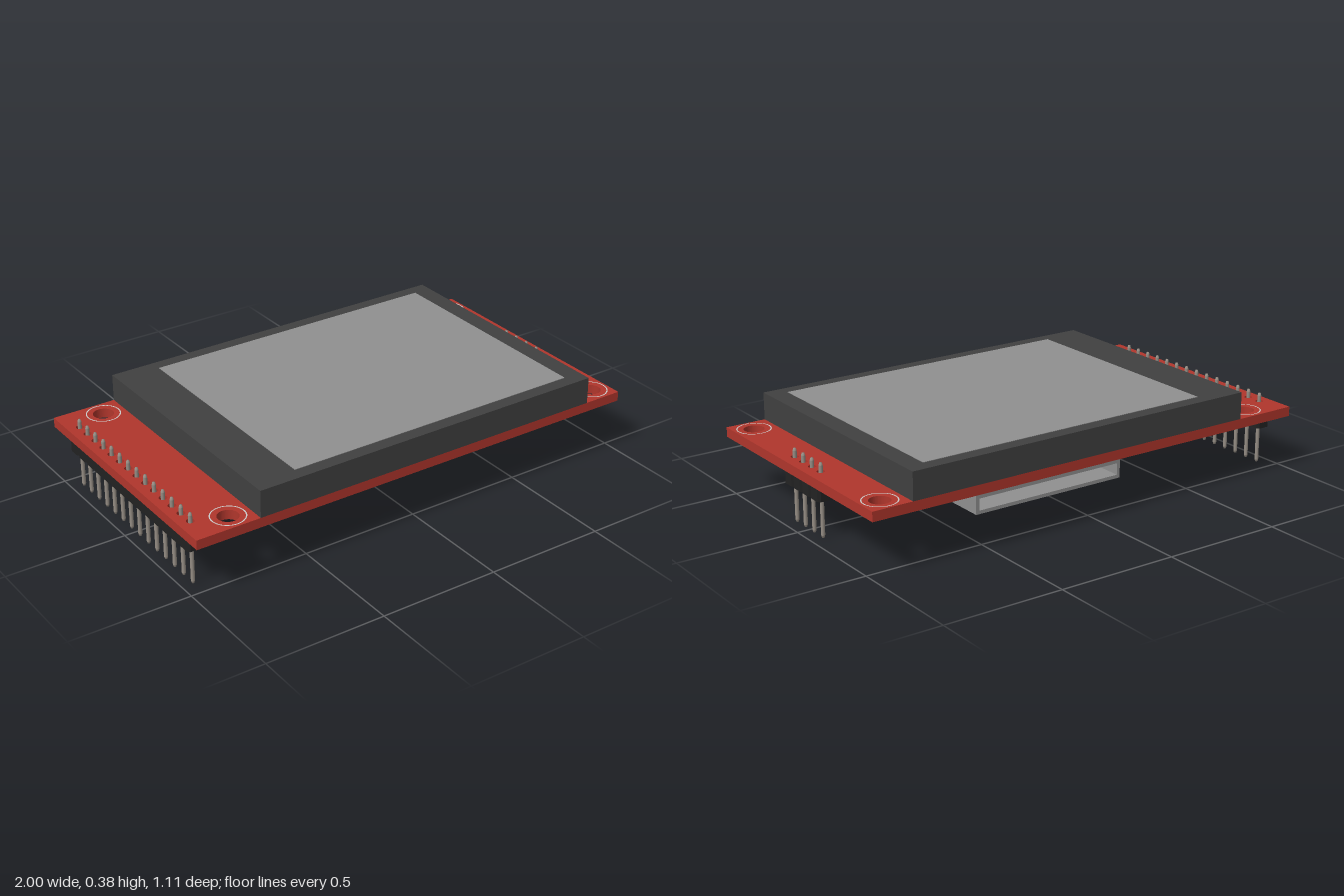
import * as THREE from 'three';

const mat = (color) => new THREE.MeshStandardMaterial({ color });
const red = mat(0xb0362c), dark = mat(0x404040), black = mat(0x222222);
const grey = mat(0x909090), metal = mat(0x958d84), white = mat(0xdddddd);

const HALF_Z = 0.555, BOARD_LOW = 0.225, BOARD_TOP = 0.265;
const PITCH = 0.0658;

function add(parent, name, geometry, material, x = 0, y = 0, z = 0) {
  const mesh = new THREE.Mesh(geometry, material);
  mesh.name = name;
  mesh.position.set(x, y, z);
  parent.add(mesh);
  return mesh;
}

// Plan outline in (x, z) extruded vertically between two heights
function slab(shape, low, high) {
  const g = new THREE.ExtrudeGeometry(shape, { depth: high - low, bevelEnabled: false, curveSegments: 24 });
  return g.rotateX(Math.PI / 2).translate(0, high, 0);
}

const outline = (points) => new THREE.Shape(points.map(([x, z]) => new THREE.Vector2(x, z)));

function punch(shape, x, z, r) {
  const hole = new THREE.Path();
  hole.absarc(x, z, r, 0, Math.PI * 2, true);
  shape.holes.push(hole);
}

// Pin header: a row of chamfered housing blocks with a pin through each
function pinHeader(name, x, count) {
  const group = new THREE.Group();
  group.name = name;
  const h = PITCH / 2, w = 0.032, c = 0.01;
  const block = slab(outline([
    [-w + c, -h], [w - c, -h], [w, -h + c], [w, h - c],
    [w - c, h], [-w + c, h], [-w, h - c], [-w, -h + c],
  ]), 0.157, BOARD_LOW);
  const pin = new THREE.LatheGeometry([
    [0, 0], [0.005, 0], [0.008, 0.01], [0.008, 0.01], [0.008, 0.29], [0.008, 0.29], [0.005, 0.3], [0, 0.3],
  ].map(([r, y]) => new THREE.Vector2(r, y)), 12);
  for (let i = 0; i < count; i++) {
    const z = (i - (count - 1) / 2) * PITCH;
    add(group, 'housingBlock', block, black, x, 0, z);
    add(group, 'pin', pin, metal, x, 0, z);
  }
  return group;
}

export function createModel() {
  const model = new THREE.Group();
  model.name = 'displayModule';
  const headers = [['rightHeader', -0.95, 14], ['leftHeader', 0.945, 4]];

  // Circuit board with mounting holes and pin holes
  const board = outline([[-1, -HALF_Z], [1, -HALF_Z], [1, HALF_Z], [-1, HALF_Z]]);
  const ring = new THREE.RingGeometry(0.065, 0.07, 40).rotateX(-Math.PI / 2);
  for (const x of [-0.82, 0.92]) {
    for (const z of [-0.475, 0.475]) {
      punch(board, x, z, 0.042);
      add(model, 'mountingRing', ring, white, x, BOARD_TOP + 0.001, z);
    }
  }
  for (const [name, x, count] of headers) {
    for (let i = 0; i < count; i++) punch(board, x, (i - (count - 1) / 2) * PITCH, 0.016);
    model.add(pinHeader(name, x, count));
  }
  add(model, 'circuitBoard', slab(board, BOARD_LOW, BOARD_TOP), red);

  // Display body and screen
  add(model, 'displayBody', new THREE.BoxGeometry(1.56, 0.113, 2 * HALF_Z), dark, 0.05, BOARD_TOP + 0.0565, 0);
  add(model, 'screen', new THREE.BoxGeometry(1.295, 0.004, 1), grey, 0.1025, 0.378, 0);

  // Card slot under the board, open at the back edge
  const slot = new THREE.Group();
  slot.name = 'cardSlot';
  const t = 0.014, low = 0.15;
  const outer = [[0.56, -HALF_Z], [0.56, -0.32], [0.51, -0.24], [0.51, -0.11], [-0.11, -0.11], [-0.11, -HALF_Z]];
  const inner = [
    [-0.11 + t, -HALF_Z], [-0.11 + t, -0.11 - t], [0.51 - t, -0.11 - t],
    [0.51 - t, -0.245], [0.56 - t, -0.325], [0.56 - t, -HALF_Z],
  ];
  add(slot, 'slotFloor', slab(outline(outer), low, low + t), grey);
  add(slot, 'slotWalls', slab(outline([...outer, ...inner]), low + t, BOARD_LOW - t), grey);
  add(slot, 'slotRoof', slab(outline(outer), BOARD_LOW - t, BOARD_LOW), grey);
  model.add(slot);

  return model;
}
